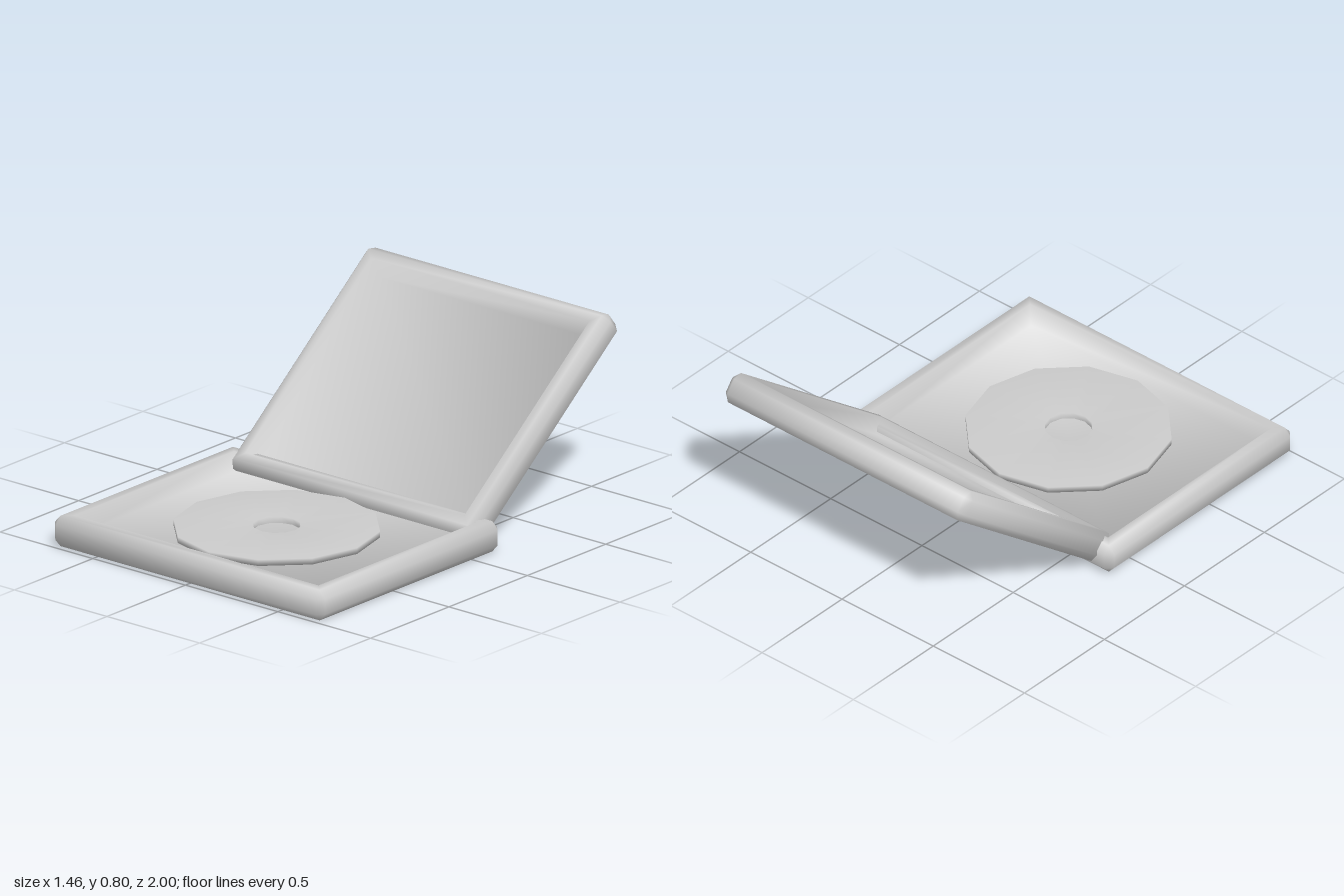
import * as THREE from 'three';
import { mergeVertices } from 'three/addons/utils/BufferGeometryUtils.js';

const material = new THREE.MeshStandardMaterial({ color: 0xcccccc });

// Weld corners and give each an angle-weighted normal, so shading is even all round.
function smooth(geometry) {
  const welded = mergeVertices(geometry, 1e-4);
  const { position } = welded.attributes;
  const normals = Array.from({ length: position.count }, () => new THREE.Vector3());
  const point = (i) => new THREE.Vector3().fromBufferAttribute(position, i);
  for (let t = 0; t < welded.index.count; t += 3) {
    const ids = [0, 1, 2].map((k) => welded.index.getX(t + k));
    const p = ids.map(point);
    const face = new THREE.Triangle(...p).getNormal(new THREE.Vector3());
    ids.forEach((id, k) => {
      const u = p[(k + 1) % 3].clone().sub(p[k]);
      const v = p[(k + 2) % 3].clone().sub(p[k]);
      normals[id].addScaledVector(face, u.angleTo(v));
    });
  }
  const flat = normals.flatMap((n) => n.normalize().toArray());
  welded.setAttribute('normal', new THREE.Float32BufferAttribute(flat, 3));
  return welded;
}

// Rectangular loop with cut corners, counterclockwise seen from above.
function loop(hx, hz, cut, y) {
  return [
    [hx, hz - cut], [hx, cut - hz], [hx - cut, -hz], [cut - hx, -hz],
    [-hx, cut - hz], [-hx, hz - cut], [cut - hx, hz], [hx - cut, hz],
  ].map(([x, z]) => [x, y, z]);
}

// Shallow tray: bevelled outside, raised rim, sunken floor.
function trayGeometry(hx, hz) {
  const section = [ // inset from the edge, height, corner cut
    [0.03, 0, 0], [0, 0.033, 0.03], [0, 0.1, 0.03],
    [0.03, 0.133, 0], [0.07, 0.133, 0], [0.107, 0.063, 0],
  ];
  const positions = section.flatMap(([d, y, cut]) => loop(hx - d, hz - d, cut, y)).flat();
  const index = [];
  for (let j = 0; j < section.length - 1; j++) {
    for (let i = 0; i < 8; i++) {
      const a = j * 8 + i, b = j * 8 + (i + 1) % 8;
      index.push(a, b, b + 8, a, b + 8, a + 8);
    }
  }
  // underside and floor, each a quad through the four corners
  const f = (section.length - 1) * 8;
  index.push(0, 4, 2, 0, 6, 4, f, f + 2, f + 4, f, f + 4, f + 6);
  const geometry = new THREE.BufferGeometry();
  geometry.setAttribute('position', new THREE.Float32BufferAttribute(positions, 3));
  geometry.setIndex(index);
  return smooth(geometry);
}

function addMesh(parent, name, geometry) {
  const mesh = new THREE.Mesh(geometry, material);
  mesh.name = name;
  parent.add(mesh);
  return mesh;
}

export function createModel() {
  const group = new THREE.Group();
  group.name = 'discCase';

  // bottom half, lying flat
  const base = addMesh(group, 'base', trayGeometry(0.73, 0.58));
  base.position.set(0, 0, 0.42);

  // narrower top half, opened backwards
  const lid = addMesh(group, 'lid', trayGeometry(0.66, 0.579));
  lid.position.set(0, 0.357, -0.564);
  lid.rotation.x = 0.67;

  // twelve-sided disc with a centre hole, raised above the floor
  const profile = [[0.1, 0.077], [0.433, 0.077], [0.433, 0.104], [0.1, 0.104], [0.1, 0.077]]
    .map(([r, y]) => new THREE.Vector2(r, y));
  const disc = addMesh(group, 'disc', new THREE.LatheGeometry(profile, 12));
  disc.position.z = 0.417;

  return group;
}
